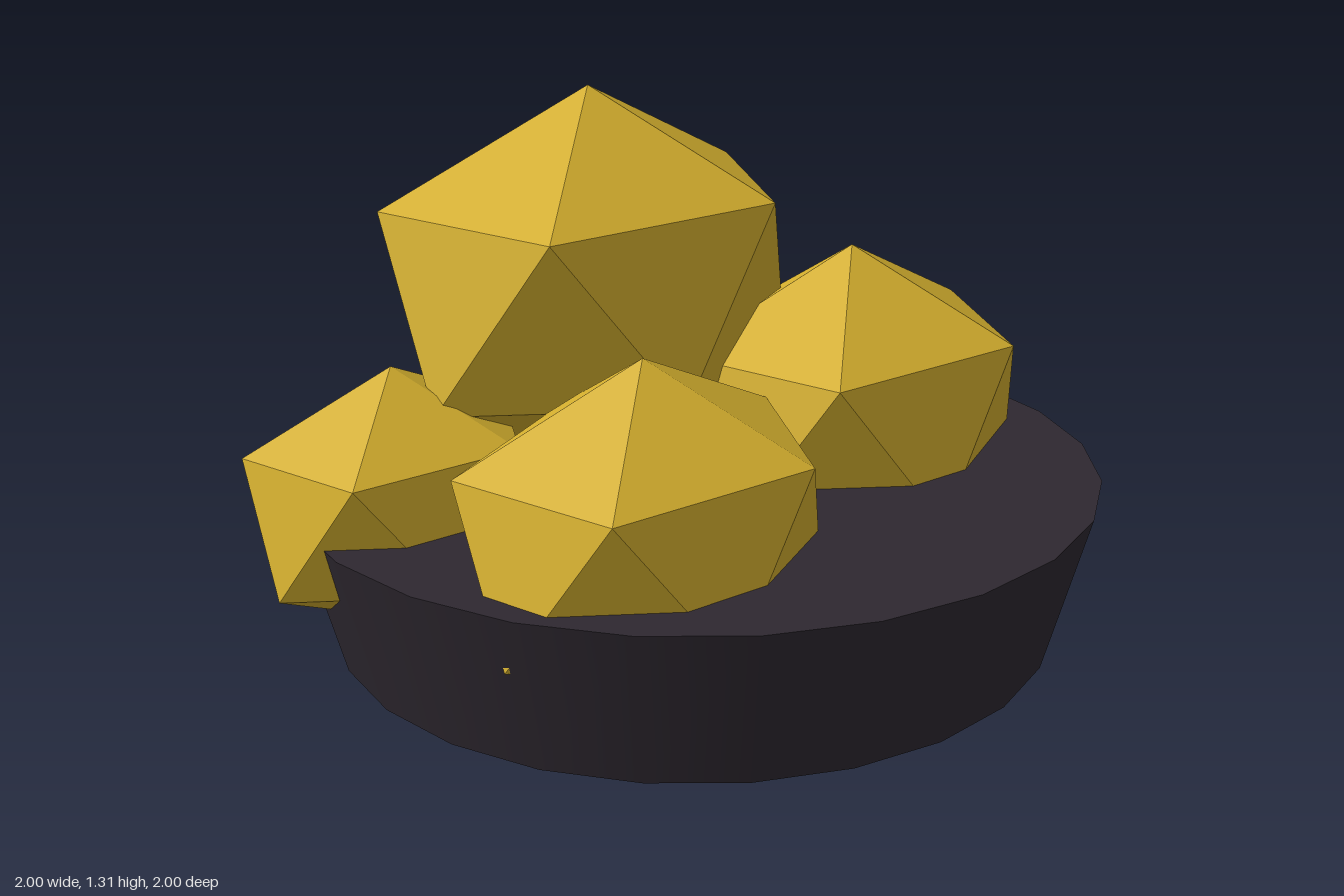
import * as THREE from 'three';

const gold = new THREE.MeshStandardMaterial({ name: 'gold', color: 0xd4af2e, flatShading: true });
const darkClay = new THREE.MeshStandardMaterial({ name: 'darkClay', color: 0x2e2830 });

// Twenty-sided nugget standing on a point: two poles and two staggered rings of five.
function nuggetGeometry() {
  const h = 1 / Math.sqrt(5), r = 2 * h;
  const points = [0, 1, 0];
  for (const [y, turn] of [[h, 0], [-h, Math.PI / 5]]) {
    for (let i = 0; i < 5; i++) {
      const a = i * Math.PI * 0.4 + turn;
      points.push(r * Math.cos(a), y, -r * Math.sin(a));
    }
  }
  points.push(0, -1, 0);
  const faces = [];
  for (let i = 0; i < 5; i++) {
    const j = (i + 1) % 5;
    const u = 1 + i, un = 1 + j, l = 6 + i, ln = 6 + j;
    faces.push(0, u, un, u, l, un, un, l, ln, 11, ln, l);
  }
  const indexed = new THREE.BufferGeometry();
  indexed.setAttribute('position', new THREE.Float32BufferAttribute(points, 3));
  indexed.setIndex(faces);
  const geometry = indexed.toNonIndexed();
  geometry.computeVertexNormals();
  return geometry;
}

export function createModel() {
  const model = new THREE.Group();
  model.name = 'dishOfNuggets';

  // Solid tapered dish
  const dish = new THREE.Mesh(new THREE.CylinderGeometry(1, 0.893, 0.396, 24), darkClay);
  dish.name = 'dish';
  dish.position.y = 0.198;
  model.add(dish);

  // Nuggets: name, centre, size
  const geometry = nuggetGeometry();
  const nuggets = [
    ['topNugget', 0, 0.826, -0.323, 0.643],
    ['frontRightNugget', -0.465, 0.432, 0.21, 0.532],
    ['frontLeftNugget', 0.43, 0.47, 0.176, 0.567],
    ['backRightNugget', -0.605, 0.402, -0.43, 0.428],
    ['backLeftNugget', 0.64, 0.36, -0.43, 0.392],
  ];
  for (const [name, x, y, z, size] of nuggets) {
    const nugget = new THREE.Mesh(geometry, gold);
    nugget.name = name;
    nugget.position.set(x, y, z);
    nugget.scale.set(size, size * 0.75, size * 0.8);
    model.add(nugget);
  }
  return model;
}
